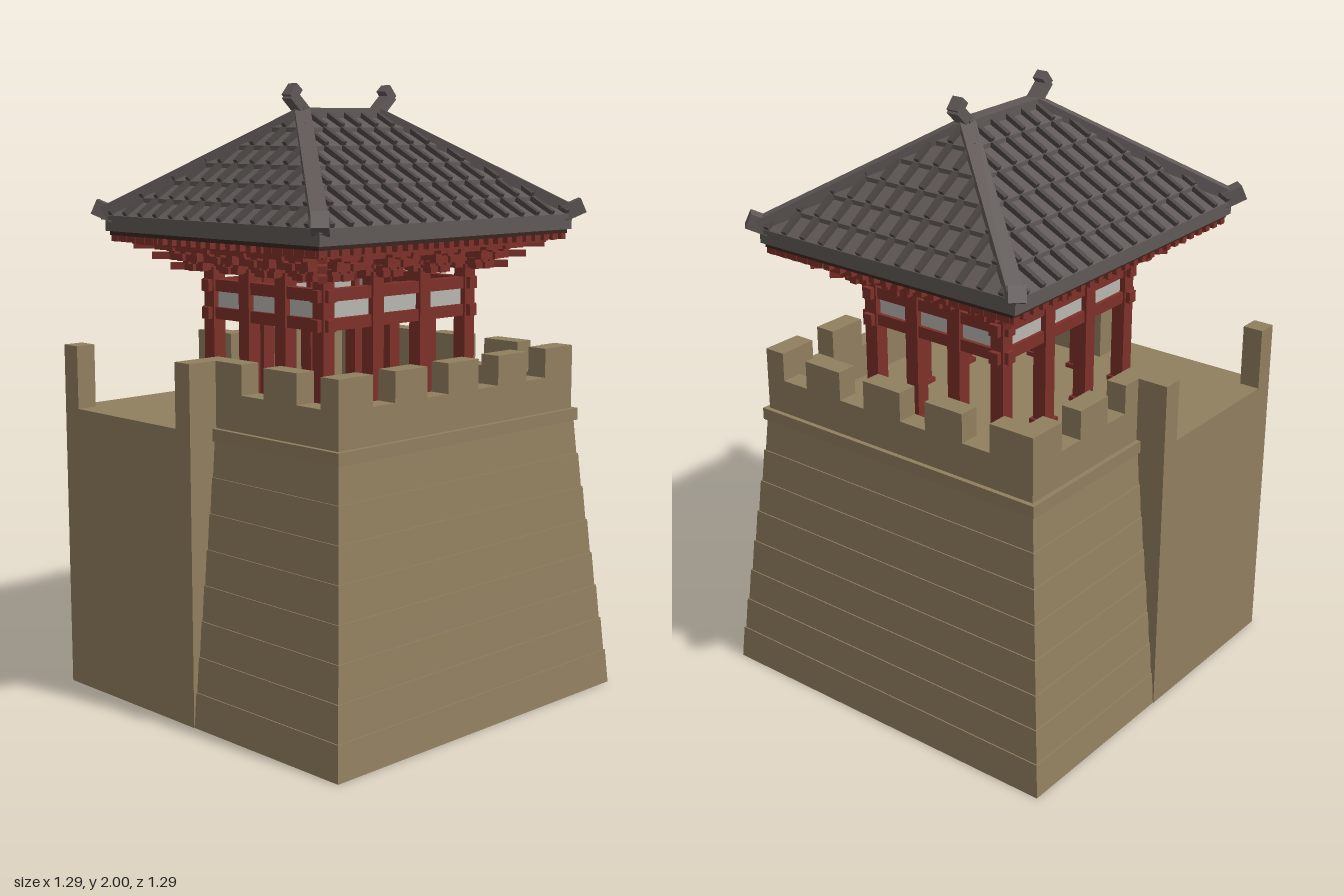
import * as THREE from 'three';
import { mergeGeometries } from 'three/addons/utils/BufferGeometryUtils.js';

const mat = (name, color) => Object.assign(new THREE.MeshStandardMaterial({ color }), { name });
const V = (x, y, z) => new THREE.Vector3(x, y, z);

// box given by its min and max corners
function box(x0, x1, y0, y1, z0, z1) {
  return new THREE.BoxGeometry(x1 - x0, y1 - y0, z1 - z0)
    .translate((x0 + x1) / 2, (y0 + y1) / 2, (z0 + z1) / 2).toNonIndexed();
}

// square bar running from a to b
function bar(a, b, w, h) {
  const o = new THREE.Object3D();
  o.position.copy(a).add(b).multiplyScalar(0.5);
  o.lookAt(b);
  o.updateMatrix();
  return new THREE.BoxGeometry(w, h, a.distanceTo(b)).applyMatrix4(o.matrix).toNonIndexed();
}

// square frustum with half widths h0 (bottom) and h1 (top)
function frustum(h0, h1, y0, y1) {
  const g = new THREE.CylinderGeometry(h1 * Math.SQRT2, h0 * Math.SQRT2, y1 - y0, 4)
    .rotateY(Math.PI / 4).translate(0, (y0 + y1) / 2, 0).toNonIndexed();
  g.computeVertexNormals();
  return g;
}

// crenellated wall along x (or along z when side is true)
function wall(from, to, edge, side, merlons) {
  const out = [];
  const inner = edge - Math.sign(edge) * 0.07;
  const d0 = Math.min(edge, inner), d1 = Math.max(edge, inner);
  const put = (a, b, y0, y1) =>
    out.push(side ? box(d0, d1, y0, y1, a, b) : box(a, b, y0, y1, d0, d1));
  put(from, to, 0.945, 1.06);
  for (const [a, b] of merlons) {
    const s = Math.max(a, from), e = Math.min(b, to);
    if (e > s) put(s, e, 1.06, 1.155);
  }
  return out;
}

// one roof slope facing +z: half width w0 to w1, distance d0 to d1
const EAVE = 1.57, RIDGE = 1.905, ROWS = 6;
function slope(w0, w1, d0, d1, ribCount) {
  const pos = [], ribs = [], lift = 0.014;
  const at = (u, t, up) => V(u, EAVE + (RIDGE - EAVE) * t + up, d0 + (d1 - d0) * t);
  const half = t => w0 + (w1 - w0) * t;
  const quad = (a, b, c, d) => [a, b, c, a, c, d].forEach(p => pos.push(p.x, p.y, p.z));
  for (let i = 0; i < ROWS; i++) {
    const t0 = i / ROWS, t1 = (i + 1) / ROWS, a = half(t0), b = half(t1);
    quad(at(-a, t0, lift), at(a, t0, lift), at(b, t1, 0), at(-b, t1, 0));
    quad(at(-a, t0, 0), at(a, t0, 0), at(a, t0, lift), at(-a, t0, lift));
    for (let k = 0; k < ribCount; k++) {
      const u = (k - (ribCount - 1) / 2) * 0.0765;
      const tMax = Math.abs(u) <= w1 ? 1 : (w0 - Math.abs(u)) / (w0 - w1);
      const e = Math.min(t1, tMax);
      if (e - t0 > 0.02) ribs.push(bar(at(u, t0, lift + 0.004), at(u, e, 0.008), 0.018, 0.02));
    }
  }
  const g = new THREE.BufferGeometry();
  g.setAttribute('position', new THREE.Float32BufferAttribute(pos, 3));
  g.computeVertexNormals();
  return { g, ribs: mergeGeometries(ribs) };
}

export function createModel() {
  const model = new THREE.Group();
  model.name = 'watchtower';
  const stone = mat('sandstone', 0x917f5f);
  const red = mat('red timber', 0x7d3029);
  const tile = mat('grey tile', 0x5f5856);
  const ribMat = mat('dark tile rib', 0x4c4644);
  const plaster = mat('white plaster', 0xb8b6b0);
  const under = mat('dark eave underside', 0x38251d);

  const add = (name, geos, material) => {
    const m = new THREE.Mesh(mergeGeometries([].concat(geos)), material);
    if (!m.geometry) throw new Error(name);
    m.name = name;
    model.add(m);
    return m;
  };

  // tapered base in slightly stepped courses
  const courses = [], N = 8;
  for (let i = 0; i < N; i++) {
    const b = 0.643 - 0.1 * i / N, t = 0.643 - 0.1 * (i + 1) / N + 0.004;
    courses.push(frustum(b, t, 0.905 * i / N, 0.905 * (i + 1) / N));
  }
  add('taperedBase', courses, stone);
  add('stringCourse', box(-0.556, 0.556, 0.905, 0.945, -0.556, 0.556), stone);

  // square bastion filling the back right corner, with its end walls and corner merlon
  add('cornerBastion', [
    box(-0.645, 0, 0, 0.947, -0.645, 0),
    box(-0.07, 0, 0.947, 1.155, -0.645, -0.47),
    box(-0.645, -0.47, 0.947, 1.155, -0.07, 0),
    box(-0.645, -0.575, 0.947, 1.155, -0.645, -0.575),
  ], stone);

  // parapets
  const across = [], along = [[0.466, 0.54], [0.22, 0.365], [-0.03, 0.12], [-0.275, -0.13], [-0.54, -0.38]];
  for (let i = -2; i <= 2; i++) across.push([i * 0.235 - 0.07, i * 0.235 + 0.07]);
  add('frontParapet', wall(-0.54, 0.54, 0.54, false, across), stone);
  add('backParapet', wall(0, 0.54, -0.54, false, across), stone);
  add('leftParapet', wall(-0.47, 0.47, 0.54, true, along), stone);
  add('rightParapet', wall(0, 0.47, -0.54, true, along), stone);

  // pavilion plinth, columns, rails and panels
  add('pavilionPlinth', box(-0.38, 0.38, 0.945, 0.965, -0.31, 0.31), stone);
  const xs = [-0.324, -0.108, 0.108, 0.324], zs = [-0.255, -0.085, 0.085, 0.255];
  const columns = [], brackets = [];
  xs.forEach((x, i) => zs.forEach((z, j) => {
    const ex = i % 3 === 0 ? Math.sign(x) : 0, ez = j % 3 === 0 ? Math.sign(z) : 0;
    if (!ex && !ez) return;
    columns.push(box(x - 0.024, x + 0.024, 0.96, 1.42, z - 0.024, z + 0.024));
    columns.push(box(x - 0.033, x + 0.033, 0.96, 0.98, z - 0.033, z + 0.033));
    // stepped bracket set: each tier reaches further out and sideways
    const dirs = [];
    if (ex) dirs.push([ex, 0]);
    if (ez) dirs.push([0, ez]);
    if (ex && ez) dirs.push([ex, ez]);
    for (let k = 0; k < 3; k++) {
      const y = 1.42 + 0.034 * k, reach = 0.1 + 0.042 * k, lat = 0.045 + 0.024 * k;
      for (const [dx, dz] of dirs) {
        const tip = V(x + dx * reach, y, z + dz * reach);
        brackets.push(bar(V(x - dx * 0.06, y, z - dz * 0.06), tip, 0.026, 0.022));
        if (dx && dz) continue;
        for (const o of [0, reach - 0.025]) {
          const c = V(x + dx * o, y, z + dz * o), s = V(dz * lat, 0, dx * lat);
          brackets.push(bar(c.clone().sub(s), c.clone().add(s), 0.026, 0.022));
          for (const e of [-1, 0, 1]) {
            const p = c.clone().addScaledVector(s, e * 0.8);
            brackets.push(box(p.x - 0.014, p.x + 0.014, y + 0.009, y + 0.026, p.z - 0.014, p.z + 0.014));
          }
        }
      }
    }
  }));
  add('columns', columns, red);
  add('brackets', brackets, red);

  const rails = [], panels = [];
  for (const s of [-1, 1]) {
    for (const y of [1.25, 1.34]) {
      rails.push(box(-0.365, 0.365, y, y + 0.038, s * 0.255 - 0.017, s * 0.255 + 0.017));
      rails.push(box(s * 0.324 - 0.017, s * 0.324 + 0.017, y, y + 0.038, -0.295, 0.295));
    }
    panels.push(box(-0.31, 0.31, 1.288, 1.34, s * 0.255 - 0.004, s * 0.255 + 0.004));
    panels.push(box(s * 0.324 - 0.004, s * 0.324 + 0.004, 1.288, 1.34, -0.24, 0.24));
  }
  add('rails', rails, red);
  add('wallPanels', panels, plaster);

  // rafters under the eaves
  const rafters = [];
  for (const s of [-1, 1]) {
    const pair = (a, b) => [Math.min(s * a, s * b), Math.max(s * a, s * b)];
    for (let i = -12; i <= 12; i++)
      rafters.push(box(i * 0.046 - 0.011, i * 0.046 + 0.011, 1.5, 1.522, ...pair(0.25, 0.485)));
    for (let i = -10; i <= 10; i++)
      rafters.push(box(...pair(0.32, 0.565), 1.5, 1.522, i * 0.046 - 0.011, i * 0.046 + 0.011));
    rafters.push(box(-0.51, 0.51, 1.49, 1.51, ...pair(0.425, 0.445)));
    rafters.push(box(...pair(0.49, 0.51), 1.49, 1.51, -0.445, 0.445));
  }
  add('rafters', rafters, red);
  add('eaveUnderside', box(-0.567, 0.567, 1.52, 1.535, -0.487, 0.487), under);
  add('eaveBoard', box(-0.575, 0.575, 1.533, 1.571, -0.5, 0.5), tile);

  // four tiled slopes
  for (let q = 0; q < 4; q++) {
    const s = q % 2 ? slope(0.51, 0, 0.585, 0.18, 13) : slope(0.585, 0.18, 0.51, 0, 15);
    add('roofSlope', s.g.rotateY(q * Math.PI / 2), tile);
    add('roofRibs', s.ribs.rotateY(q * Math.PI / 2), ribMat);
  }

  // ridge, hips with upturned ends, and forked finials
  add('mainRidge', box(-0.185, 0.185, 1.88, 1.925, -0.025, 0.025), tile);
  const hips = [], finials = [];
  for (const sx of [-1, 1]) {
    for (const sz of [-1, 1]) {
      hips.push(bar(V(sx * 0.17, 1.905, 0), V(sx * 0.575, 1.59, sz * 0.5), 0.05, 0.045));
      hips.push(bar(V(sx * 0.55, 1.583, sz * 0.48), V(sx * 0.598, 1.612, sz * 0.525), 0.052, 0.05));
    }
    finials.push(bar(V(sx * 0.165, 1.91, 0), V(sx * 0.226, 1.966, 0), 0.042, 0.035));
    finials.push(bar(V(sx * 0.228, 1.955, 0), V(sx * 0.198, 1.99, 0), 0.04, 0.032));
  }
  add('hipRidges', hips, tile);
  add('ridgeFinials', finials, tile);
  return model;
}
